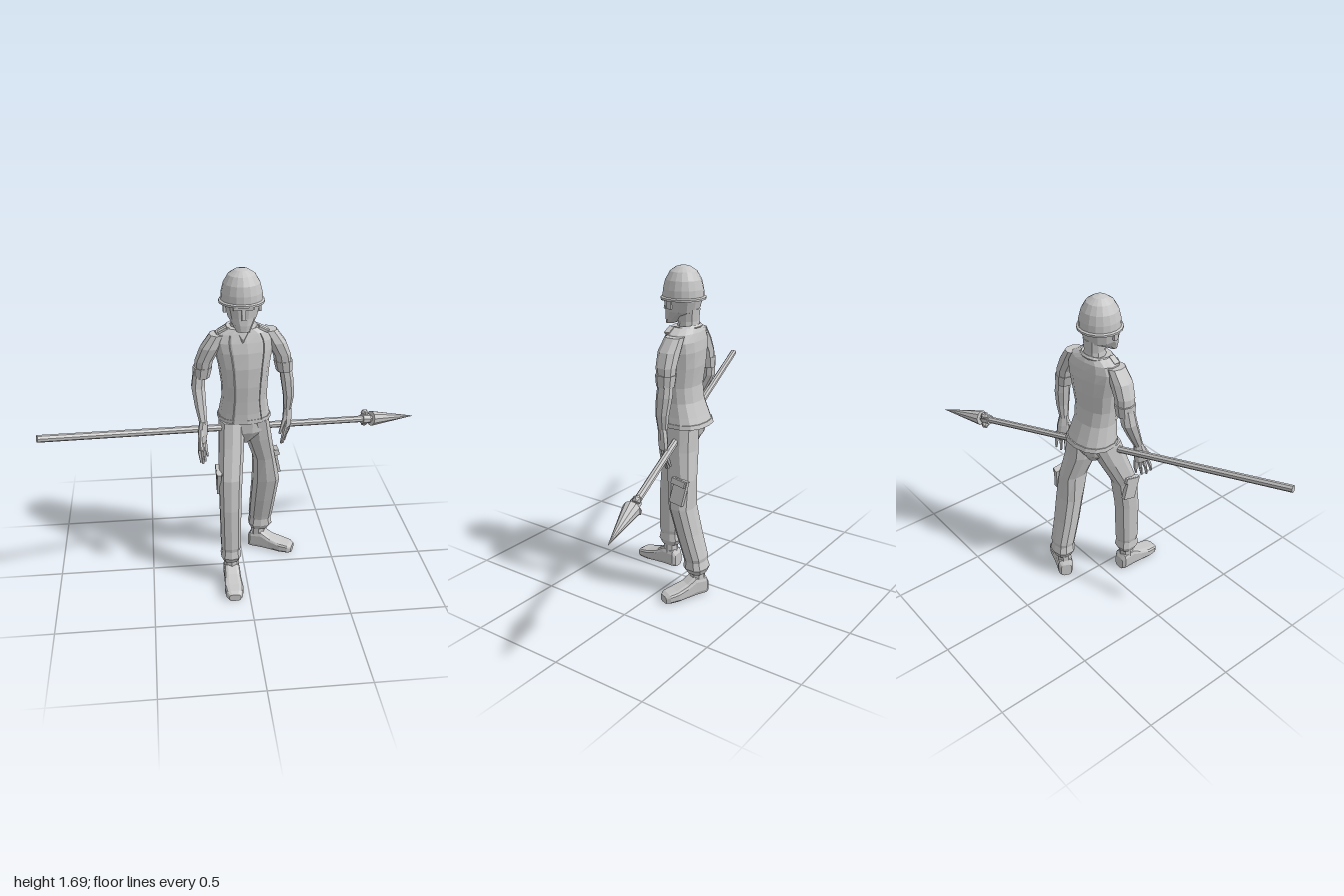
import * as THREE from 'three';

const grey = new THREE.MeshStandardMaterial({ color: 0xc6c6c6 });
grey.name = 'plain grey';

// Faceted mesh: unshared corners give one normal per face
function part(name, geometry) {
  const g = geometry.index ? geometry.toNonIndexed() : geometry;
  g.computeVertexNormals();
  const mesh = new THREE.Mesh(g, grey);
  mesh.name = name;
  return mesh;
}

// Point on a ring [x, y, z, halfWidth, halfDepth, yaw]; p = 2 is an ellipse, larger is boxier
function ringPoint([x, y, z, a, b, yaw = 0], t, p = 2) {
  const c = Math.cos(t), s = Math.sin(t);
  const u = a * Math.sign(c) * Math.abs(c) ** (2 / p);
  const v = b * Math.sign(s) * Math.abs(s) ** (2 / p);
  return new THREE.Vector3(
    x + u * Math.cos(yaw) + v * Math.sin(yaw), y,
    z - u * Math.sin(yaw) + v * Math.cos(yaw));
}

// Closed skin through a stack of rings
function loft(rings, n = 10, p = 2.3) {
  const r = rings[0][1] > rings[rings.length - 1][1] ? [...rings].reverse() : rings;
  const pos = [], index = [], top = (r.length - 1) * n;
  for (const ring of r)
    for (let j = 0; j < n; j++) pos.push(...ringPoint(ring, (j + 0.5) / n * Math.PI * 2, p).toArray());
  const lo = r.length * n, hi = lo + 1;
  pos.push(...r[0].slice(0, 3), ...r[r.length - 1].slice(0, 3));
  for (let j = 0; j < n; j++) {
    const k = (j + 1) % n;
    for (let i = 0; i < top; i += n)
      index.push(i + j, i + n + j, i + k, i + k, i + n + j, i + n + k);
    index.push(lo, j, k, hi, top + k, top + j);
  }
  const g = new THREE.BufferGeometry();
  g.setAttribute('position', new THREE.Float32BufferAttribute(pos, 3));
  g.setIndex(index);
  return g;
}

// Tapered rod between two points
function rod(name, from, to, r0, r1, sides = 6) {
  const a = new THREE.Vector3(...from), b = new THREE.Vector3(...to);
  const d = b.clone().sub(a);
  const mesh = part(name, new THREE.CylinderGeometry(r1, r0, d.length(), sides));
  mesh.position.copy(a).addScaledVector(d, 0.5);
  mesh.quaternion.setFromUnitVectors(new THREE.Vector3(0, 1, 0), d.normalize());
  return mesh;
}

function box(name, size, at, rot = [0, 0, 0]) {
  const mesh = part(name, new THREE.BoxGeometry(...size));
  mesh.position.set(...at);
  mesh.rotation.set(...rot);
  return mesh;
}

function makeHead() {
  const head = new THREE.Group();
  head.name = 'head';
  head.position.x = -0.01;
  head.add(part('skull', loft([
    [0, 1.398, 0.068, 0.034, 0.022], [0, 1.43, 0.04, 0.052, 0.052], [0, 1.465, 0.003, 0.074, 0.086],
    [0, 1.52, -0.003, 0.088, 0.095], [0, 1.57, -0.003, 0.085, 0.09]], 12)));
  head.add(part('neck', loft([
    [0, 1.36, -0.035, 0.06, 0.055], [0, 1.42, -0.035, 0.05, 0.05], [0, 1.48, -0.035, 0.055, 0.055]], 10)));
  head.add(box('nose', [0.02, 0.05, 0.03], [0, 1.485, 0.09], [-0.25, 0, 0]));
  head.add(box('brow', [0.1, 0.012, 0.02], [0, 1.518, 0.088]));
  for (const s of [-1, 1]) head.add(box('ear', [0.014, 0.045, 0.022], [s * 0.086, 1.505, 0.02]));
  // Domed helmet with a thin brim
  const dome = [[0.098, 0], [0.113, 0], [0.113, 0.01], [0.103, 0.015], [0.101, 0.05], [0.09, 0.095],
    [0.067, 0.135], [0.035, 0.157], [0, 0.165]];
  const helmet = part('helmet', new THREE.LatheGeometry(dome.map(q => new THREE.Vector2(...q)), 18));
  helmet.position.set(0, 1.525, -0.004);
  head.add(helmet);
  return head;
}

function makeShirt() {
  const shirt = new THREE.Group();
  shirt.name = 'shirt';
  const rings = [
    [0.005, 0.9, -0.045, 0.135, 0.115, 0.08], [0.004, 0.95, -0.035, 0.126, 0.104, 0.08],
    [0.004, 1.02, -0.02, 0.115, 0.092, 0.08], [0.004, 1.1, -0.012, 0.118, 0.09, 0.1],
    [0.002, 1.2, -0.017, 0.13, 0.098, 0.13], [0, 1.28, -0.022, 0.148, 0.096, 0.15],
    [-0.003, 1.33, -0.025, 0.155, 0.088, 0.15], [-0.005, 1.37, -0.027, 0.135, 0.077, 0.12],
    [-0.006, 1.395, -0.025, 0.088, 0.066, 0.08]];
  shirt.add(part('torso', loft(rings, 14)));
  // Front seams follow the torso surface
  for (const t of [1.02, 2.12]) {
    const path = new THREE.CatmullRomCurve3(rings.slice(0, 8).map(r => ringPoint(r, t, 2.3)));
    shirt.add(part('frontSeam', new THREE.TubeGeometry(path, 16, 0.004, 4)));
  }
  shirt.add(part('hemBand', loft([[0.005, 0.897, -0.046, 0.139, 0.119, 0.08], [0.005, 0.918, -0.043, 0.136, 0.115, 0.08]], 14)));
  const collar = part('collar', new THREE.TorusGeometry(0.075, 0.012, 5, 14));
  collar.position.set(-0.008, 1.388, -0.025);
  collar.rotation.x = Math.PI / 2 + 0.1;
  collar.scale.y = 0.85;
  shirt.add(collar);
  for (const s of [-1, 1]) {
    shirt.add(box('shoulderTab', [0.05, 0.012, 0.03], [s * 0.1 - 0.005, 1.384, 0.005], [0, 0, -s * 0.5]));
    shirt.add(rod('neckline', [s * 0.03 - 0.008, 1.385, 0.038], [-0.008, 1.335, 0.062], 0.005, 0.005, 4));
  }
  return shirt;
}

// Palm, four fingers and a thumb hanging from the wrist
function makeHand(s) {
  const hand = new THREE.Group();
  hand.name = 'hand';
  hand.add(part('palm', loft([
    [0, 0.01, 0, 0.02, 0.024], [0, -0.05, 0, 0.021, 0.036], [0, -0.1, 0, 0.016, 0.037]], 8)));
  [-0.029, -0.01, 0.009, 0.028].forEach((z, i) => {
    const tip = -0.18 - [0, 0.02, 0.025, 0.012][i];
    hand.add(rod('finger', [0, -0.09, z], [-s * 0.008, -0.145, z * 1.3], 0.011, 0.01, 5));
    hand.add(rod('fingertip', [-s * 0.008, -0.143, z * 1.3], [-s * 0.02, tip, z * 1.35], 0.01, 0.006, 5));
  });
  hand.add(rod('thumb', [0, -0.03, 0.02], [-s * 0.02, -0.125, 0.058], 0.014, 0.007, 5));
  return hand;
}

// Sleeve, cuff, forearm and hand; s is the side, the rings run from elbow to wrist
function makeArm(s, z, forearm, yaw, lean) {
  const arm = new THREE.Group();
  arm.name = s > 0 ? 'leftArm' : 'rightArm';
  arm.add(part('sleeve', loft([
    [s * 0.21, 1.14, z - 0.005, 0.039, 0.044], [s * 0.198, 1.23, z, 0.046, 0.052],
    [s * 0.165, 1.3, z + 0.005, 0.053, 0.056], [s * 0.128, 1.365, z, 0.042, 0.05]], 9)));
  arm.add(part('sleeveCuff', loft([
    [s * 0.212, 1.138, z - 0.005, 0.042, 0.046], [s * 0.205, 1.195, z - 0.003, 0.049, 0.053]], 9)));
  arm.add(part('forearm', loft(forearm, 8)));
  const hand = makeHand(s);
  hand.position.set(...forearm[forearm.length - 1].slice(0, 3));
  hand.rotation.set(lean, yaw, 0, 'YXZ');
  arm.add(hand);
  return arm;
}

// Trouser leg with gathered cuff, cargo pocket and shoe
function makeLeg(s, rings, pocket, ankle, yaw) {
  const leg = new THREE.Group();
  leg.name = s > 0 ? 'leftLeg' : 'rightLeg';
  leg.add(part('trouserLeg', loft(rings, 10, 2.6)));
  leg.add(box('cargoPocket', [0.022, 0.13, 0.075], pocket.slice(0, 3), pocket.slice(3)));
  leg.add(box('pocketFlap', [0.03, 0.03, 0.08], [pocket[0], pocket[1] + 0.05, pocket[2]], pocket.slice(3)));
  leg.add(rod('ankle', [ankle[0], 0.07, ankle[1]], [ankle[0], 0.17, ankle[1]], 0.042, 0.036, 8));
  // Shoe sections: distance from ankle, half width, height
  const sections = [[-0.05, 0.03, 0.075], [-0.035, 0.042, 0.1], [0.03, 0.043, 0.108], [0.075, 0.044, 0.078],
    [0.14, 0.05, 0.058], [0.185, 0.044, 0.05], [0.205, 0.03, 0.038]];
  const shoe = part('shoe', loft(sections.map(([d, w, h]) => [0, d, -h / 2, w, h / 2]), 12, 4).rotateX(Math.PI / 2));
  shoe.position.set(ankle[0], 0, ankle[1]);
  shoe.rotation.y = yaw;
  leg.add(shoe);
  return leg;
}

function makeSpear() {
  const spear = new THREE.Group();
  spear.name = 'spear';
  const tail = new THREE.Vector3(-1, 1, 0.317), tip = new THREE.Vector3(1, 0.697, -0.338);
  const at = f => tail.clone().lerp(tip, f).toArray();
  spear.add(rod('shaft', at(0), at(0.88), 0.018, 0.018, 8));
  spear.add(rod('spearhead', at(0.868), at(1), 0.042, 0.001, 10));
  // Knotted binding behind the head
  const [x, y, z] = at(0.85);
  spear.add(rod('binding', at(0.84), at(0.862), 0.027, 0.027, 8));
  for (const s of [-1, 1]) {
    const bead = part('bead', new THREE.IcosahedronGeometry(0.023, 0));
    bead.position.set(x, y + s * 0.028, z - 0.015);
    spear.add(bead);
  }
  return spear;
}

export function createModel() {
  const model = new THREE.Group();
  model.name = 'spearCarrier';
  model.add(makeHead(), makeShirt(), makeSpear());

  model.add(makeArm(-1, -0.005, [
    [-0.222, 1.17, -0.01, 0.032, 0.038], [-0.23, 1.09, 0, 0.036, 0.042],
    [-0.222, 1.0, 0.04, 0.03, 0.034], [-0.212, 0.92, 0.08, 0.02, 0.025]], -0.5, -0.2));
  model.add(makeArm(1, -0.05, [
    [0.215, 1.17, -0.06, 0.032, 0.038], [0.228, 1.09, -0.058, 0.034, 0.042],
    [0.237, 1.0, -0.052, 0.029, 0.035], [0.232, 0.92, -0.05, 0.02, 0.025]], -0.5, 0.05));

  model.add(part('trouserSeat', loft([
    [0, 0.775, -0.015, 0.03, 0.05], [0.004, 0.84, -0.025, 0.112, 0.088], [0.005, 0.93, -0.035, 0.118, 0.1]], 12)));
  model.add(makeLeg(-1, [
    [-0.062, 0.9, -0.02, 0.064, 0.09], [-0.068, 0.78, 0.03, 0.066, 0.08], [-0.08, 0.62, 0.102, 0.062, 0.066],
    [-0.083, 0.45, 0.124, 0.057, 0.062], [-0.083, 0.22, 0.13, 0.053, 0.06], [-0.083, 0.2, 0.13, 0.049, 0.056],
    [-0.083, 0.16, 0.13, 0.055, 0.064], [-0.083, 0.13, 0.13, 0.042, 0.048]],
    [-0.14, 0.6, 0.1, 0.25, 0, 0], [-0.08, 0.13], 0));
  model.add(makeLeg(1, [
    [0.066, 0.9, -0.04, 0.065, 0.095], [0.08, 0.78, -0.055, 0.072, 0.085], [0.115, 0.64, -0.085, 0.06, 0.075],
    [0.13, 0.49, -0.1, 0.075, 0.063], [0.12, 0.35, -0.132, 0.07, 0.06], [0.112, 0.22, -0.167, 0.065, 0.058],
    [0.111, 0.2, -0.168, 0.06, 0.054], [0.11, 0.16, -0.172, 0.067, 0.062], [0.108, 0.13, -0.174, 0.05, 0.048]],
    [0.185, 0.59, -0.115, -0.15, 0, 0.2], [0.1, -0.172], 1.15));
  return model;
}
